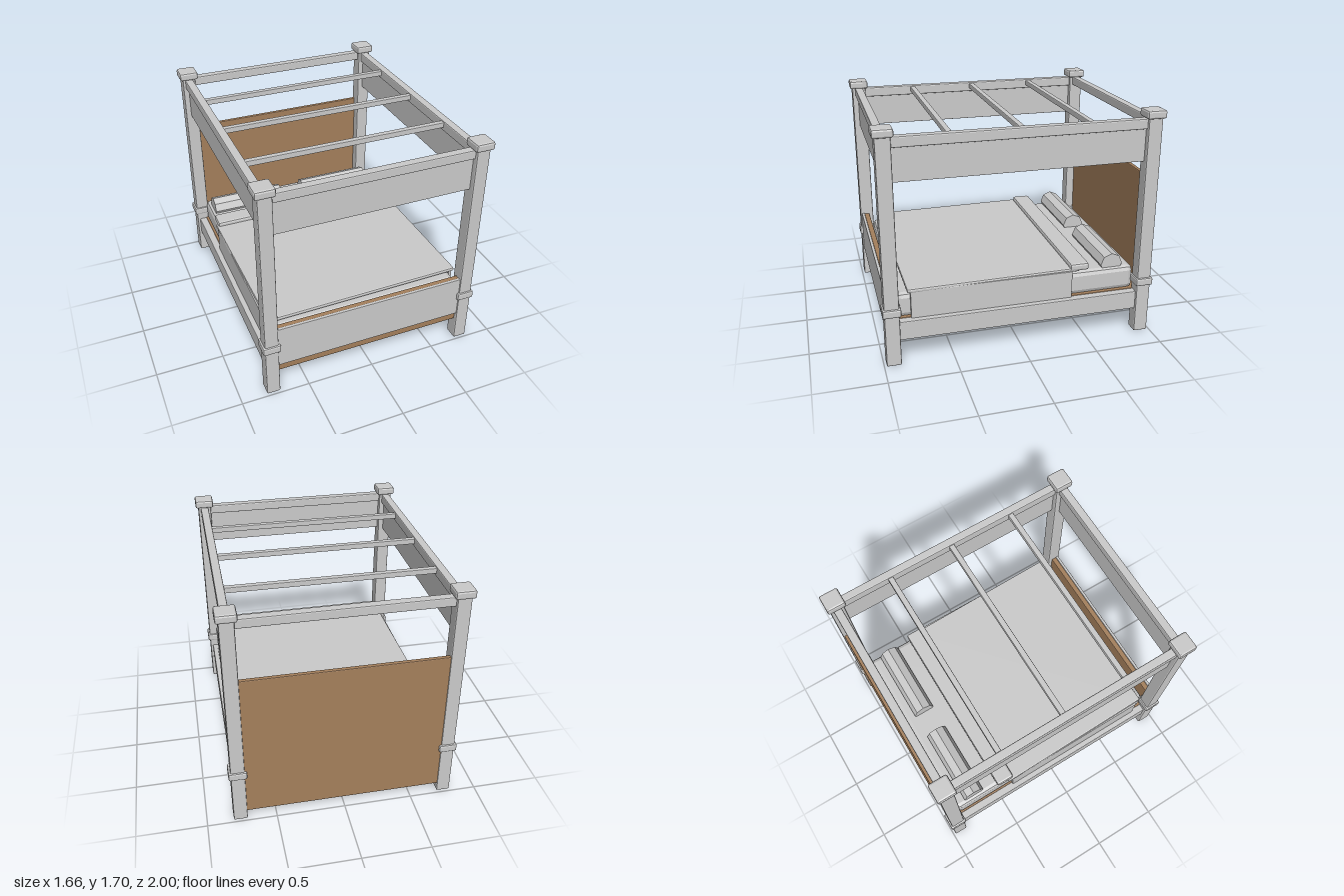
import * as THREE from 'three';
import { RoundedBoxGeometry } from 'three/addons/geometries/RoundedBoxGeometry.js';

const grey = new THREE.MeshStandardMaterial({ color: 0xcccccc, flatShading: true });
const wood = new THREE.MeshStandardMaterial({ color: 0xa5805c, flatShading: true });

export function createModel() {
  const bed = new THREE.Group();
  bed.name = 'canopyBed';

  // Box with chamfered edges, given by its [min, max] range on each axis
  function block(name, [x0, x1], [y0, y1], [z0, z1], bevel = 0.006, material = grey) {
    const geometry = new RoundedBoxGeometry(x1 - x0, y1 - y0, z1 - z0, 1, bevel);
    const mesh = new THREE.Mesh(geometry, material);
    mesh.position.set((x0 + x1) / 2, (y0 + y1) / 2, (z0 + z1) / 2);
    mesh.name = name;
    bed.add(mesh);
    return mesh;
  }
  const around = (centre, size) => [centre - size / 2, centre + size / 2];

  // Corner posts with cuffs and caps
  for (const sx of [-1, 1]) {
    for (const sz of [-1, 1]) {
      const x = sx * 0.76, z = sz * 0.93;
      block('post', around(x, 0.1), [0, 1.66], around(z, 0.105), 0.01);
      block('postCuff', around(x, 0.13), [0.38, 0.44], around(z, 0.13), 0.012);
      block('postCap', around(x, 0.14), [1.64, 1.7], around(z, 0.14), 0.014);
    }
  }

  // Side rails, canopy rails and valances
  for (const s of [-1, 1]) {
    const x = s * 0.76;
    block('sideRail', around(x, 0.06), [0.185, 0.325], [-0.89, 0.89]);
    block('canopySideRail', around(x, 0.06), [1.565, 1.638], [-0.89, 0.89], 0.008);
    block('sideValance', around(x, 0.02), [1.33, 1.57], [-0.89, 0.89], 0.003);
    block('canopyEndRail', [-0.72, 0.72], [1.575, 1.643], around(s * 0.93, 0.06), 0.008);
  }
  block('frontValance', [-0.72, 0.72], [1.33, 1.58], around(0.93, 0.02), 0.003);

  // Canopy slats
  for (const z of [-0.5, -0.005, 0.49]) {
    block('canopySlat', [-0.74, 0.74], [1.59, 1.63], around(z, 0.04), 0.005);
  }

  // Headboard, footboard and base
  block('headboard', [-0.72, 0.72], [0.07, 1.195], [-0.975, -0.945], 0.006, wood);
  block('footboard', [-0.72, 0.72], [0.17, 0.56], [0.91, 0.95], 0.006, wood);
  block('footPanel', [-0.718, 0.718], [0.24, 0.565], [0.95, 0.972], 0.004);
  block('bedBase', [-0.735, 0.735], [0.27, 0.33], [-0.95, 0.92], 0.006, wood);

  // Mattress and bedding
  block('mattress', [-0.725, 0.725], [0.325, 0.505], [-0.88, 0.88], 0.035);
  const blanket = block('blanket', [-0.745, 0.745], [0.518, 0.548], [-0.44, 0.824], 0.01);
  blanket.rotation.y = 0.016;
  block('blanketUnderlay', [-0.735, 0.735], [0.495, 0.53], [-0.39, 0.79], 0.005);
  block('blanketFold', [-0.74, 0.74], [0.524, 0.58], [-0.52, -0.38], 0.016);
  for (const s of [-1, 1]) {
    block('blanketDrape', around(s * 0.738, 0.026), [0.32, 0.53], [-0.39, 0.79], 0.005);
  }

  // Eight-sided bolster pillows
  for (const s of [-1, 1]) {
    const bolster = new THREE.Mesh(new THREE.CylinderGeometry(0.083, 0.083, 0.595, 8), grey);
    bolster.rotation.z = Math.PI / 2;
    bolster.position.set(s * 0.3975, 0.527, -0.715);
    bolster.name = 'bolsterPillow';
    bed.add(bolster);
  }

  return bed;
}
